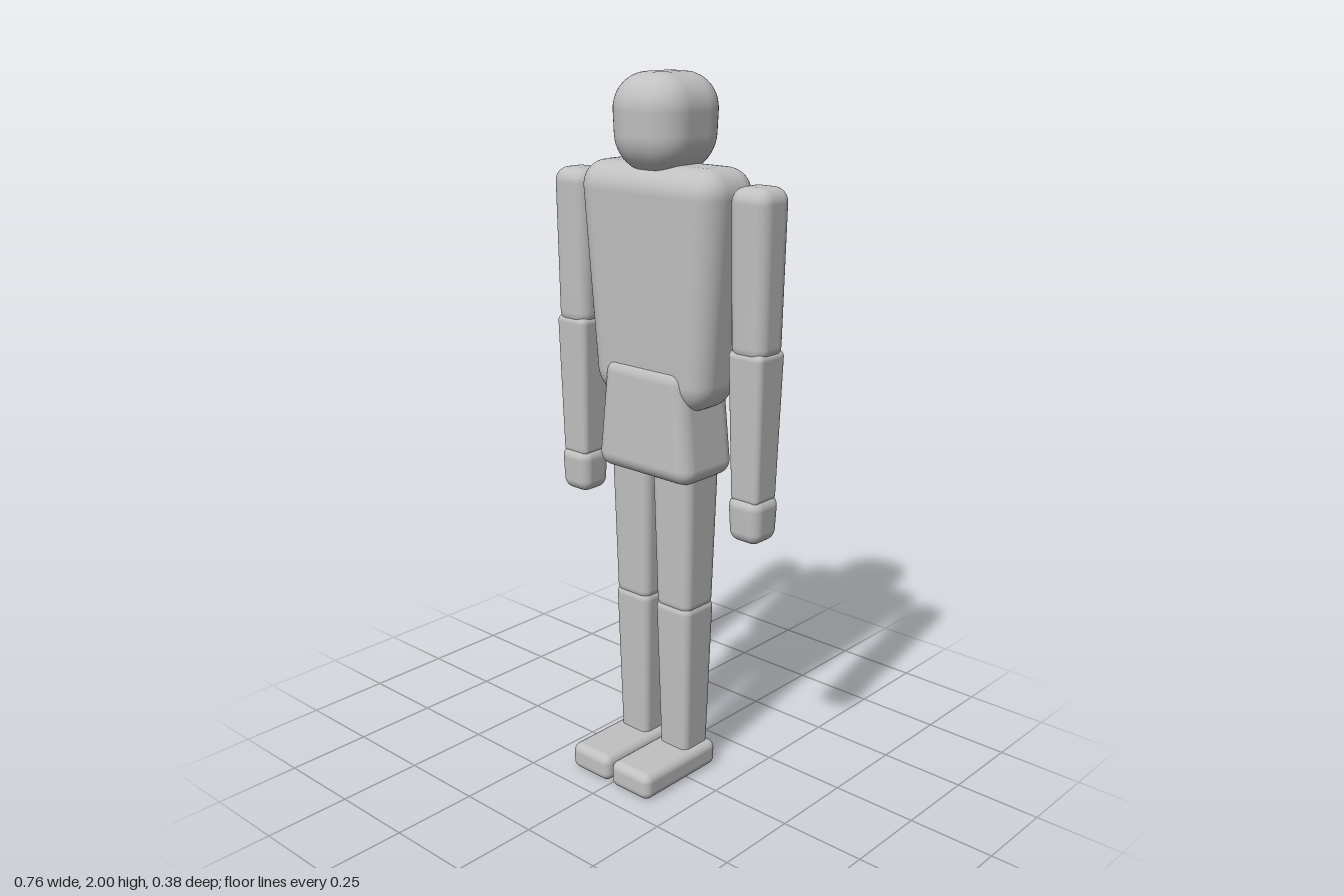
import * as THREE from 'three';
import { RoundedBoxGeometry } from 'three/addons/geometries/RoundedBoxGeometry.js';

const grey = new THREE.MeshStandardMaterial({ color: 0xc0c0c0 });
grey.name = 'plain grey';

const DEPTH_CENTRE = -0.055;

// Rounded box from y0 to y1; top and bottom give [width, depth] at each end.
function block(name, x, y0, y1, bottom, top, radius, z = DEPTH_CENTRE) {
  const h = y1 - y0;
  const w = Math.max(bottom[0], top[0]);
  const d = Math.max(bottom[1], top[1]);
  const geo = new RoundedBoxGeometry(w, h, d, 5, radius);
  const pos = geo.attributes.position;
  const nor = geo.attributes.normal;
  const kx = (top[0] - bottom[0]) / w / h;
  const kz = (top[1] - bottom[1]) / d / h;
  const n = new THREE.Vector3();
  for (let i = 0; i < pos.count; i++) {
    // Taper along the height and tilt the smooth normals to match
    const px = pos.getX(i), py = pos.getY(i), pz = pos.getZ(i);
    const sx = bottom[0] / w + kx * (py + h / 2);
    const sz = bottom[1] / d + kz * (py + h / 2);
    n.fromBufferAttribute(nor, i);
    n.set(n.x / sx, n.y - (kx * px * n.x) / sx - (kz * pz * n.z) / sz, n.z / sz).normalize();
    pos.setXYZ(i, px * sx, py, pz * sz);
    nor.setXYZ(i, n.x, n.y, n.z);
  }
  const mesh = new THREE.Mesh(geo, grey);
  mesh.name = name;
  mesh.position.set(x, (y0 + y1) / 2, z);
  return mesh;
}

export function createModel() {
  const model = new THREE.Group();
  model.name = 'blockFigure';

  // Head and body
  model.add(
    block('head', 0, 1.74, 2.0, [0.226, 0.256], [0.246, 0.278], 0.1),
    block('torso', 0, 1.115, 1.765, [0.395, 0.18], [0.5, 0.22], 0.075),
    block('pelvis', 0, 0.91, 1.235, [0.35, 0.217], [0.28, 0.207], 0.045)
  );

  // Arms and legs, mirrored left and right
  for (const [side, s] of [['left', 1], ['right', -1]]) {
    const arm = new THREE.Group();
    arm.name = side + 'Arm';
    const ax = s * 0.319;
    arm.add(
      block('upperArm', ax, 1.28, 1.73, [0.111, 0.111], [0.125, 0.125], 0.04),
      block('lowerArm', ax, 0.89, 1.31, [0.092, 0.092], [0.114, 0.114], 0.02),
      block('hand', ax, 0.78, 0.91, [0.1, 0.1], [0.112, 0.112], 0.032)
    );
    const leg = new THREE.Group();
    leg.name = side + 'Leg';
    const lx = s * 0.078;
    leg.add(
      block('thigh', lx, 0.51, 0.98, [0.122, 0.122], [0.146, 0.146], 0.03),
      block('shin', lx, 0.05, 0.535, [0.102, 0.104], [0.128, 0.128], 0.025),
      block('foot', lx, 0, 0.08, [0.147, 0.307], [0.147, 0.307], 0.025, 0.0325)
    );
    model.add(arm, leg);
  }
  return model;
}
